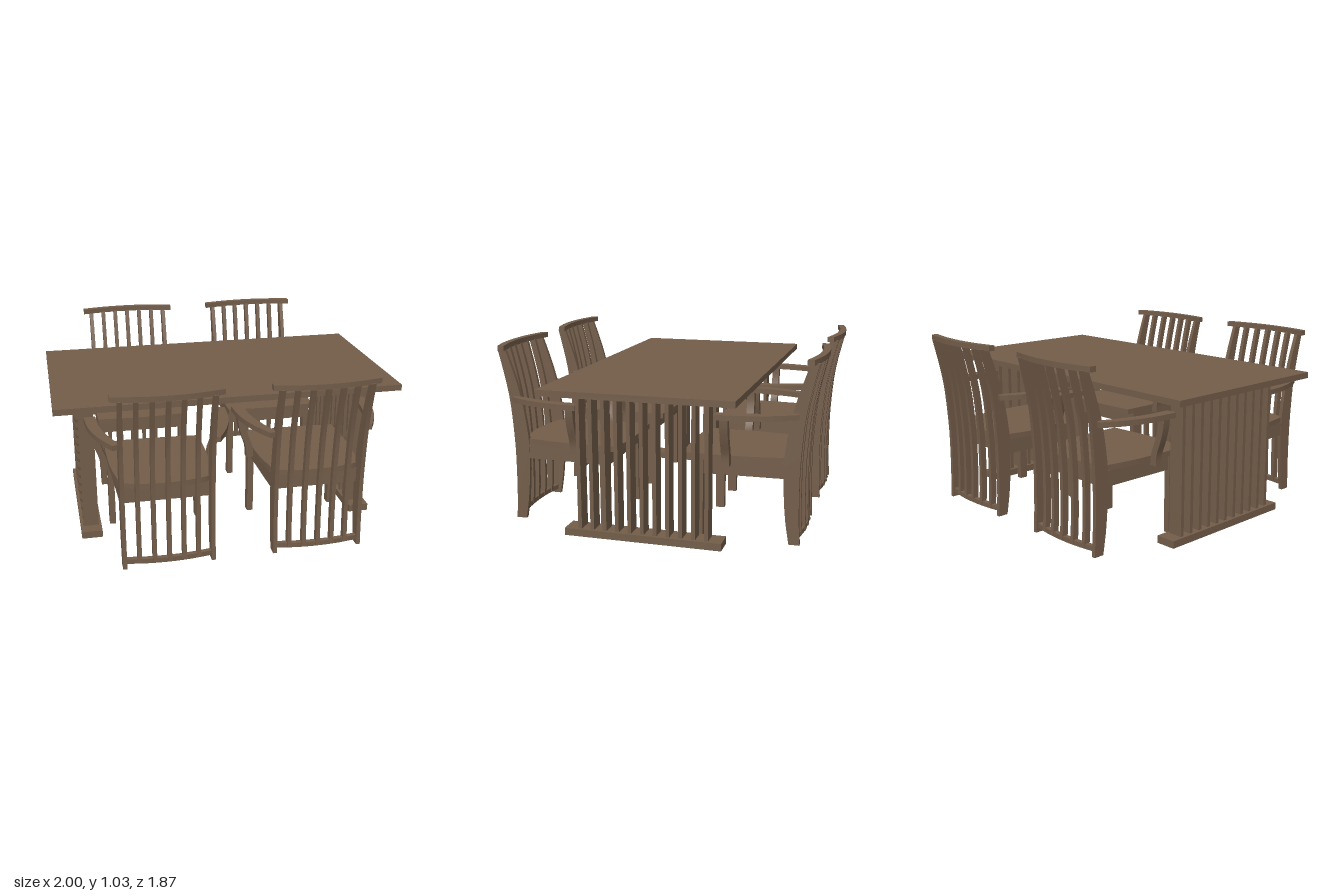
import * as THREE from 'three';
import { toCreasedNormals } from 'three/addons/utils/BufferGeometryUtils.js';

const wood = new THREE.MeshStandardMaterial({ color: 0x735d4a });
wood.name = 'brown wood';

function add(group, name, geometry) {
  const mesh = new THREE.Mesh(geometry, wood);
  mesh.name = name;
  group.add(mesh);
  return mesh;
}

// Box given by its lower and upper limits on each axis
function box(group, name, x0, x1, y0, y1, z0, z1) {
  const mesh = add(group, name, new THREE.BoxGeometry(x1 - x0, y1 - y0, z1 - z0));
  mesh.position.set((x0 + x1) / 2, (y0 + y1) / 2, (z0 + z1) / 2);
  return mesh;
}

const smooth = (points, n = 14) =>
  new THREE.SplineCurve(points.map(([a, b]) => new THREE.Vector2(a, b))).getPoints(n);

// Band between two smooth edge curves, extruded along z
function band(edgeA, edgeB, depth) {
  const shape = new THREE.Shape([...smooth(edgeA), ...smooth(edgeB).reverse()]);
  return new THREE.ExtrudeGeometry(shape, { depth, bevelEnabled: false });
}

// Stand a (z, y) outline upright, centred on x
function sideways(geometry, depth) {
  geometry.rotateY(-Math.PI / 2).translate(depth / 2, 0, 0);
  return toCreasedNormals(geometry, 0.5);
}

// Lay an (x, z) outline flat with its upper face at the given height
function flat(geometry, top) {
  geometry.rotateX(Math.PI / 2).translate(0, top, 0);
  return toCreasedNormals(geometry, 0.5);
}

// Horizontal rail bowed backwards in the middle
function bowedRail(halfWidth, zMiddle, zEnd, thickness, height, top) {
  const k = zMiddle - zEnd;
  const edge = (o) => [-1, -0.5, 0, 0.5, 1].map((t) => [t * halfWidth, zMiddle + o - k * t * t]);
  return flat(band(edge(0), edge(-thickness), height), top);
}

// Rear outline of the chair back as [z, y]
const rearEdge = [[0.84, 0], [0.832, 0.15], [0.83, 0.35], [0.835, 0.5], [0.852, 0.7], [0.88, 0.85], [0.918, 1.005]];
const legInner = [[0.78, 0], [0.757, 0.15], [0.744, 0.35], [0.747, 0.5], [0.778, 0.7], [0.818, 0.85], [0.872, 1.005]];

function createChair() {
  const chair = new THREE.Group();
  const pitch = 0.0825;

  // Back: two curved legs with five slimmer slats between them
  for (let i = -3; i <= 3; i++) {
    const isLeg = Math.abs(i) === 3;
    const width = 0.023;
    let geometry;
    if (isLeg) {
      geometry = band(rearEdge, legInner, width);
    } else {
      const shift = 0.014 - 0.0035 * i * i;
      const at = (o) => rearEdge.map(([z, y]) => [z + shift + o, Math.max(y, 0.03)]);
      geometry = band(at(0), at(-0.036), width);
    }
    add(chair, isLeg ? 'backLeg' : 'backSlat', sideways(geometry, width)).position.x = i * pitch;
  }
  add(chair, 'topRail', bowedRail(0.298, 0.935, 0.896, 0.038, 0.03, 1.03));
  add(chair, 'bottomRail', bowedRail(0.25, 0.848, 0.822, 0.028, 0.028, 0.053));

  // Seat: tapers to the back, bowed rear and front edges
  const seat = new THREE.Shape([
    ...smooth([[-0.285, 0.19], [0, 0.175], [0.285, 0.19]], 10),
    ...smooth([[0.287, 0.35], [0.28, 0.55], [0.25, 0.75]], 8),
    ...smooth([[0.23, 0.768], [0.12, 0.794], [0, 0.803], [-0.12, 0.794], [-0.23, 0.768]], 12),
    ...smooth([[-0.25, 0.75], [-0.28, 0.55], [-0.287, 0.35]], 8),
  ]);
  add(chair, 'seat', flat(new THREE.ExtrudeGeometry(seat, { depth: 0.032, bevelEnabled: false }), 0.486));

  // Apron under the seat
  box(chair, 'frontApron', -0.25, 0.25, 0.37, 0.455, 0.25, 0.275);
  box(chair, 'rearApron', -0.24, 0.24, 0.37, 0.455, 0.745, 0.77);

  for (const s of [-1, 1]) {
    box(chair, 'frontLeg', Math.min(s * 0.242, s * 0.278), Math.max(s * 0.242, s * 0.278), 0, 0.455, 0.25, 0.302);
    const sideApron = new THREE.Shape([[0.243, 0.29], [0.268, 0.29], [0.256, 0.76], [0.234, 0.76]]
      .map(([x, z]) => new THREE.Vector2(s * x, z)));
    add(chair, 'sideApron', flat(new THREE.ExtrudeGeometry(sideApron, { depth: 0.085, bevelEnabled: false }), 0.455));

    // Curved armrest and its bent post
    const mirror = (points) => points.map(([a, b]) => [s * a, b]);
    add(chair, 'armrest', flat(band(
      mirror([[0.288, 0.825], [0.35, 0.7], [0.392, 0.55], [0.405, 0.39]]),
      mirror([[0.246, 0.815], [0.295, 0.69], [0.33, 0.545], [0.34, 0.39]]), 0.03), 0.735));
    const post = band(
      mirror([[0.328, 0.435], [0.332, 0.5], [0.36, 0.58], [0.378, 0.65], [0.385, 0.706]]),
      mirror([[0.285, 0.435], [0.292, 0.5], [0.32, 0.58], [0.336, 0.65], [0.338, 0.706]]), 0.045);
    add(chair, 'armPost', toCreasedNormals(post.translate(0, 0, 0.415), 0.5));
  }
  return chair;
}

function createTable() {
  const table = new THREE.Group();
  table.name = 'table';
  box(table, 'tableTop', -1, 1, 0.815, 0.85, -0.545, 0.545);
  // Slatted end supports
  for (const s of [-1, 1]) {
    const end = new THREE.Group();
    end.name = 'tableEnd';
    box(end, 'foot', -0.06, 0.06, 0, 0.042, -0.45, 0.45);
    box(end, 'cap', -0.06, 0.06, 0.79, 0.815, -0.45, 0.45);
    for (let i = -5; i <= 5; i++) {
      const z = i * 0.0727;
      box(end, 'endSlat', -0.044, 0.044, 0.042, 0.79, z - 0.011, z + 0.011);
    }
    end.position.x = s * 0.82;
    table.add(end);
  }
  return table;
}

export function createModel() {
  const model = new THREE.Group();
  model.name = 'diningSet';
  model.add(createTable());
  // Two chairs on each long side, facing the table
  for (const turn of [0, Math.PI]) {
    for (const x of [-0.425, 0.425]) {
      const chair = createChair();
      chair.name = turn ? 'rearChair' : 'frontChair';
      chair.rotation.y = turn;
      chair.position.x = x;
      model.add(chair);
    }
  }
  return model;
}
